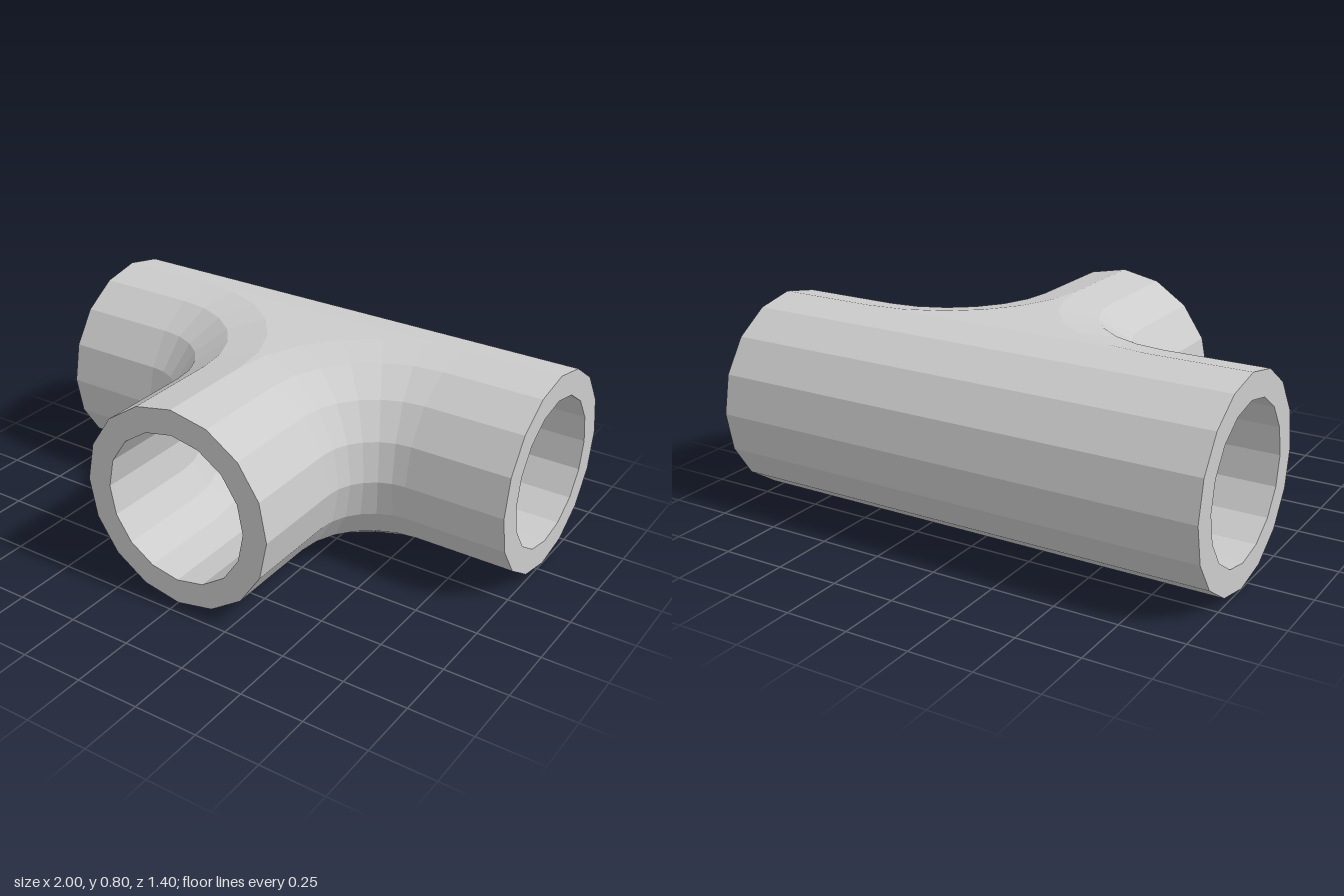
import * as THREE from 'three';

const OUTER = 0.4, INNER = 0.3;        // pipe radii
const SIDES = 16, BEND_STEPS = 6;      // facets round the pipe, facets along each bend
const AXIS_Y = 0.4, AXIS_Z = -0.3;     // axis of the straight run
const RUN_END = 1, BRANCH_END = 0.7;
const BEND = 0.6;                      // bend radius measured at the pipe axis
const HALF = SIDES / 2;

// Facets between neighbouring rows of points
function addGrid(out, rows, flip) {
  const tri = (a, b, c) => {
    if (a.equals(b) || b.equals(c) || a.equals(c)) return;
    for (const p of flip ? [a, c, b] : [a, b, c]) out.push(p.x, p.y, p.z);
  };
  for (let t = 0; t < rows.length - 1; t++) {
    for (let k = 0; k < rows[t].length - 1; k++) {
      const a = rows[t][k], b = rows[t][k + 1], c = rows[t + 1][k + 1], d = rows[t + 1][k];
      tri(a, b, c);
      tri(a, c, d);
    }
  }
}

// Line that runs in from one end of the run, round the bend and out along the branch
function bendPath(side, y, offset) {
  const v = (x, z) => new THREE.Vector3(side * x, y, z);
  const rho = BEND - offset, centreZ = AXIS_Z + BEND;
  const path = [v(RUN_END, AXIS_Z + offset)];
  for (let i = 0; i <= BEND_STEPS; i++) {
    const a = (i / BEND_STEPS) * Math.PI / 2;
    // the bend ends exactly on the branch wall
    path.push(v(i === BEND_STEPS ? offset : BEND - rho * Math.sin(a), centreZ - rho * Math.cos(a)));
  }
  path.push(v(offset, BRANCH_END));
  return path;
}

// Whole tee wall of one radius; inward turns the faces towards the bore
function teeSurface(radius, inward) {
  const out = [];
  const ring = (k) => {
    const a = -Math.PI / 2 + (k / SIDES) * Math.PI * 2;
    const offset = k === 0 || k === HALF ? 0 : radius * Math.cos(a);
    return { y: AXIS_Y + radius * Math.sin(a), offset };
  };

  // Front half of the run, swept round into the branch on both sides
  for (const side of [1, -1]) {
    const lines = [];
    for (let k = 0; k <= HALF; k++) {
      const { y, offset } = ring(k);
      lines.push(bendPath(side, y, offset));
    }
    const rows = lines[0].map((_, t) => lines.map((line) => line[t]));
    addGrid(out, rows, inward !== (side < 0));
  }

  // Straight back half of the run
  const back = [RUN_END, -RUN_END].map((x) => {
    const row = [];
    for (let k = HALF; k <= SIDES; k++) {
      const { y, offset } = ring(k);
      row.push(new THREE.Vector3(x, y, AXIS_Z + offset));
    }
    return row;
  });
  addGrid(out, back, inward);

  // Flat webs between the two bends, top and bottom
  for (const up of [1, -1]) {
    const web = [-1, 1].map((side) => bendPath(side, AXIS_Y + up * radius, 0).slice(1, -1));
    addGrid(out, web, inward !== (up < 0));
  }

  const geometry = new THREE.BufferGeometry();
  geometry.setAttribute('position', new THREE.Float32BufferAttribute(out, 3));
  geometry.computeVertexNormals();
  return geometry;
}

export function createModel() {
  const group = new THREE.Group();
  group.name = 'pipeTee';
  const material = new THREE.MeshStandardMaterial({ color: 0xcccccc, flatShading: true });
  const add = (name, geometry) => {
    const mesh = new THREE.Mesh(geometry, material);
    mesh.name = name;
    group.add(mesh);
    return mesh;
  };

  add('outerWall', teeSurface(OUTER, false));
  add('bore', teeSurface(INNER, true));

  // Flat rims closing the wall at the three openings
  const rim = new THREE.RingGeometry(INNER, OUTER, SIDES);
  add('branchRim', rim).position.set(0, AXIS_Y, BRANCH_END);
  for (const side of [1, -1]) {
    const mesh = add(side > 0 ? 'leftRim' : 'rightRim', rim);
    mesh.position.set(side * RUN_END, AXIS_Y, AXIS_Z);
    mesh.rotation.y = side * Math.PI / 2;
  }
  return group;
}
